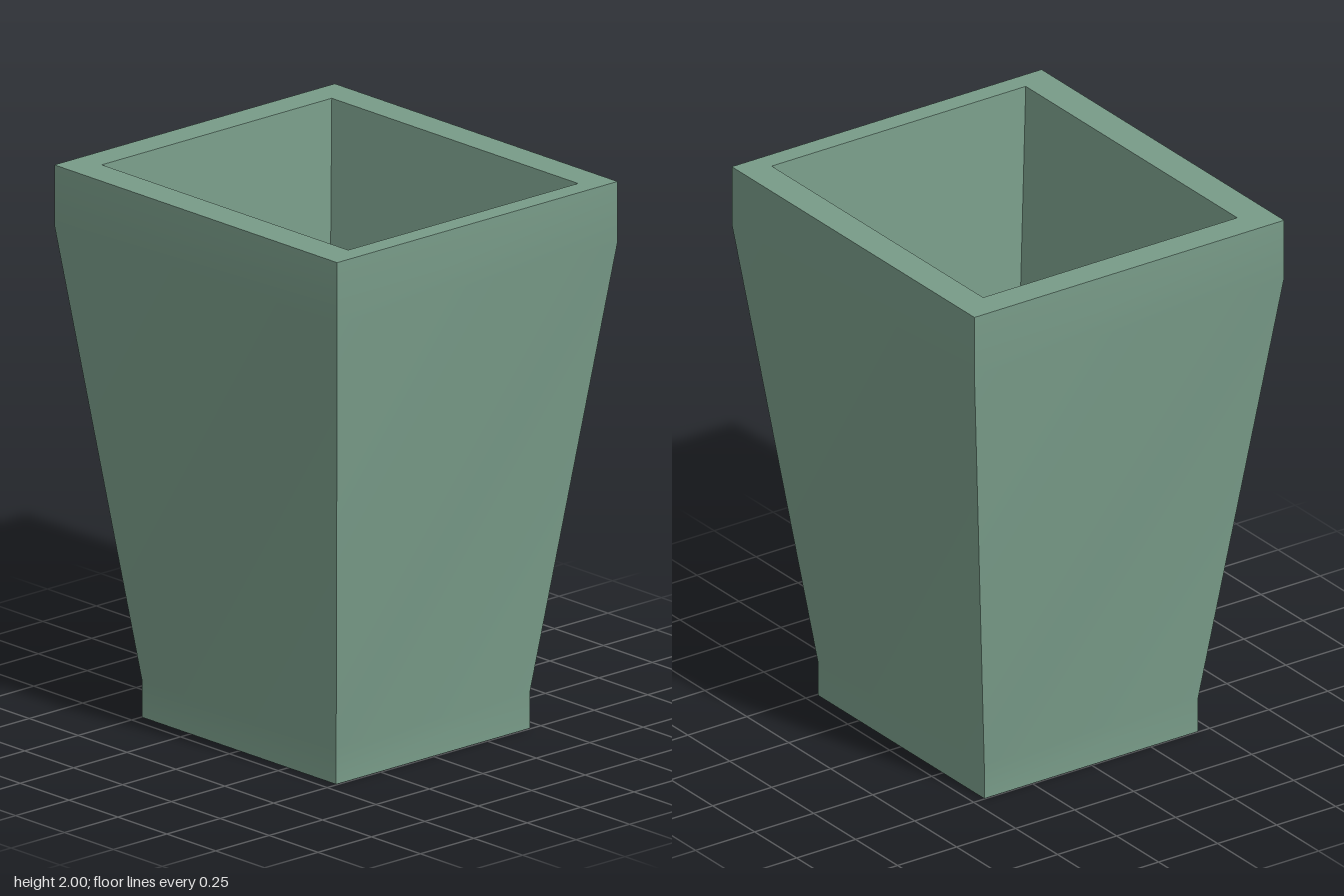
import * as THREE from 'three';
import { toCreasedNormals } from 'three/addons/utils/BufferGeometryUtils.js';

// Rectangular rings [y, xMin, xMax, zMin, zMax], skinned in order; optional end caps
function skinRings(rings, capStart, capEnd) {
  const positions = [];
  const index = [];
  for (const [y, x0, x1, z0, z1] of rings) {
    positions.push(x0, y, z1, x1, y, z1, x1, y, z0, x0, y, z0);
  }
  for (let r = 0; r < rings.length - 1; r++) {
    for (let i = 0; i < 4; i++) {
      const a = r * 4 + i;
      const b = r * 4 + ((i + 1) % 4);
      index.push(a, b, b + 4, a, b + 4, a + 4);
    }
  }
  if (capStart) index.push(0, 2, 1, 0, 3, 2);
  if (capEnd) {
    const e = (rings.length - 1) * 4;
    index.push(e, e + 1, e + 2, e, e + 2, e + 3);
  }
  const geometry = new THREE.BufferGeometry();
  geometry.setAttribute('position', new THREE.Float32BufferAttribute(positions, 3));
  geometry.setIndex(index);
  // Soft bends between bands, sharp corners and rims
  return toCreasedNormals(geometry, 0.5);
}

export function createModel() {
  const group = new THREE.Group();
  group.name = 'planter';
  const material = new THREE.MeshStandardMaterial({ color: 0x789b88 });

  const rimOuter = [2, -0.724, 0.722, -0.656, 0.656];
  const rimInner = [2, -0.614, 0.646, -0.541, 0.535];

  const parts = {
    // Straight foot, tapered body and straight collar
    outerShell: skinRings([
      [0, -0.497, 0.495, -0.453, 0.453],
      [0.13, -0.497, 0.495, -0.453, 0.453],
      [1.78, -0.724, 0.722, -0.656, 0.656],
      rimOuter,
    ], true, false),
    // Flat top edge
    rim: skinRings([rimOuter, rimInner], false, false),
    // Tapered cavity, slightly off centre, with a flat floor
    cavity: skinRings([rimInner, [0.25, -0.463, 0.497, -0.385, 0.377]], false, true),
  };

  for (const [name, geometry] of Object.entries(parts)) {
    const mesh = new THREE.Mesh(geometry, material);
    mesh.name = name;
    group.add(mesh);
  }
  return group;
}
